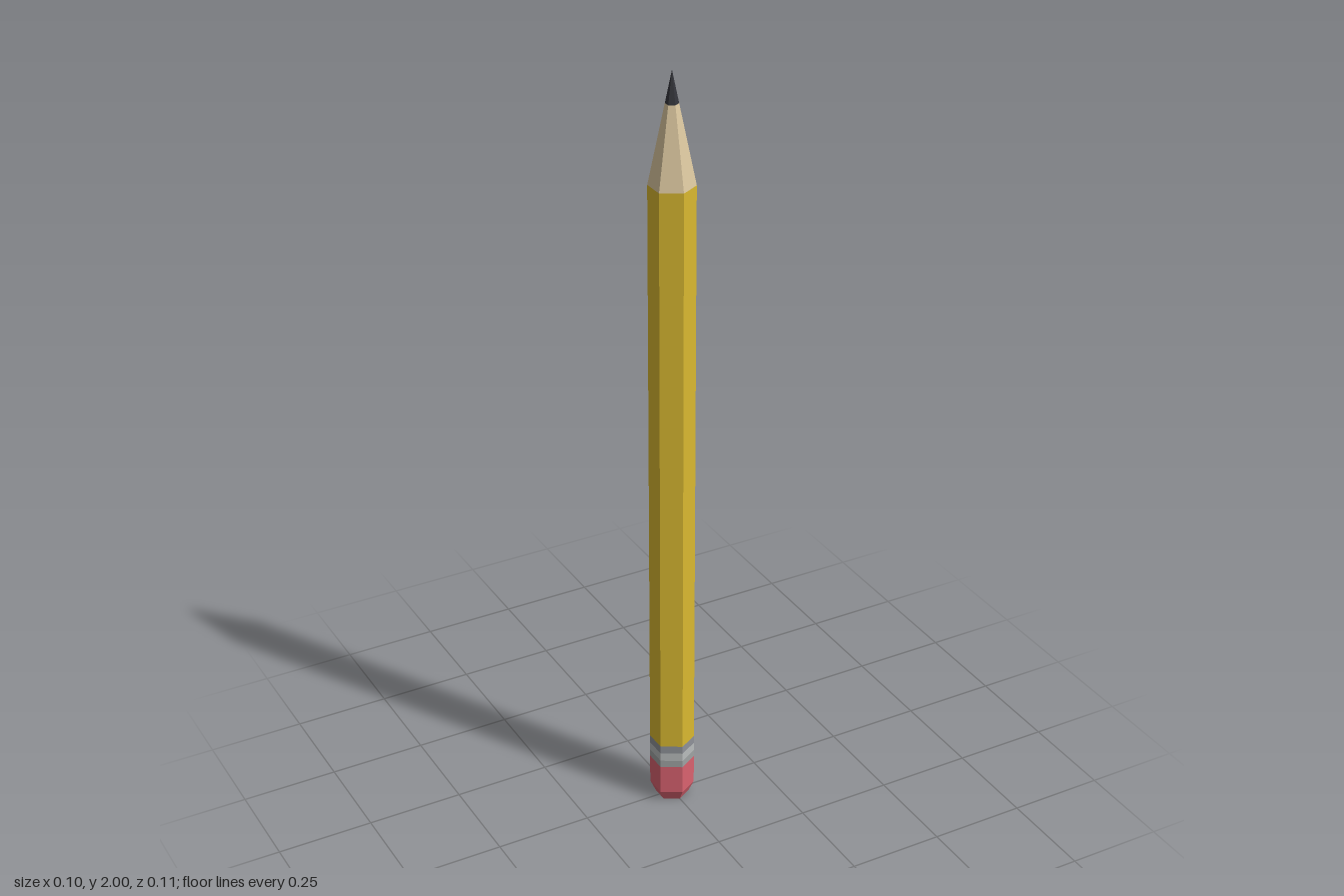
import * as THREE from 'three';

const SIDES = 6;
const R = 0.057; // corner radius of the hexagonal shaft, corners on +z and -z

// One hexagonal section of the pencil, from height y0 (radius r0) to y1 (radius r1)
function section(name, color, y0, r0, y1, r1, open = true) {
  const geometry = new THREE.CylinderGeometry(r1, r0, y1 - y0, SIDES, 1, open);
  geometry.translate(0, (y0 + y1) / 2, 0);
  const material = new THREE.MeshStandardMaterial({ color, flatShading: true });
  const mesh = new THREE.Mesh(geometry, material);
  mesh.name = name;
  return mesh;
}

export function createModel() {
  const pencil = new THREE.Group();
  pencil.name = 'pencil';

  // Eraser with a bevelled, closed bottom
  const eraser = new THREE.Group();
  eraser.name = 'eraser';
  eraser.add(
    section('eraserBevel', 0xd9626f, 0, 0.043, 0.03, R, false),
    section('eraserBody', 0xd9626f, 0.03, R, 0.11, R),
  );

  // Metal ferrule with a shallow raised band
  const ferrule = new THREE.Group();
  ferrule.name = 'ferrule';
  ferrule.add(
    section('ferruleLowerBand', 0x9fa3a3, 0.11, R, 0.13, R),
    section('ferruleMiddleBand', 0xb8bcbc, 0.13, R, 0.153, R),
    section('ferruleUpperBand', 0x8f9298, 0.153, R, 0.175, R),
  );

  // Painted shaft, sharpened wood and lead point
  pencil.add(
    eraser,
    ferrule,
    section('shaft', 0xd9b830, 0.175, R, 1.72, R),
    section('sharpenedWood', 0xdcc8a0, 1.72, R, 1.92, 0.0163),
    section('leadTip', 0x33343a, 1.92, 0.0163, 2, 0),
  );
  return pencil;
}
